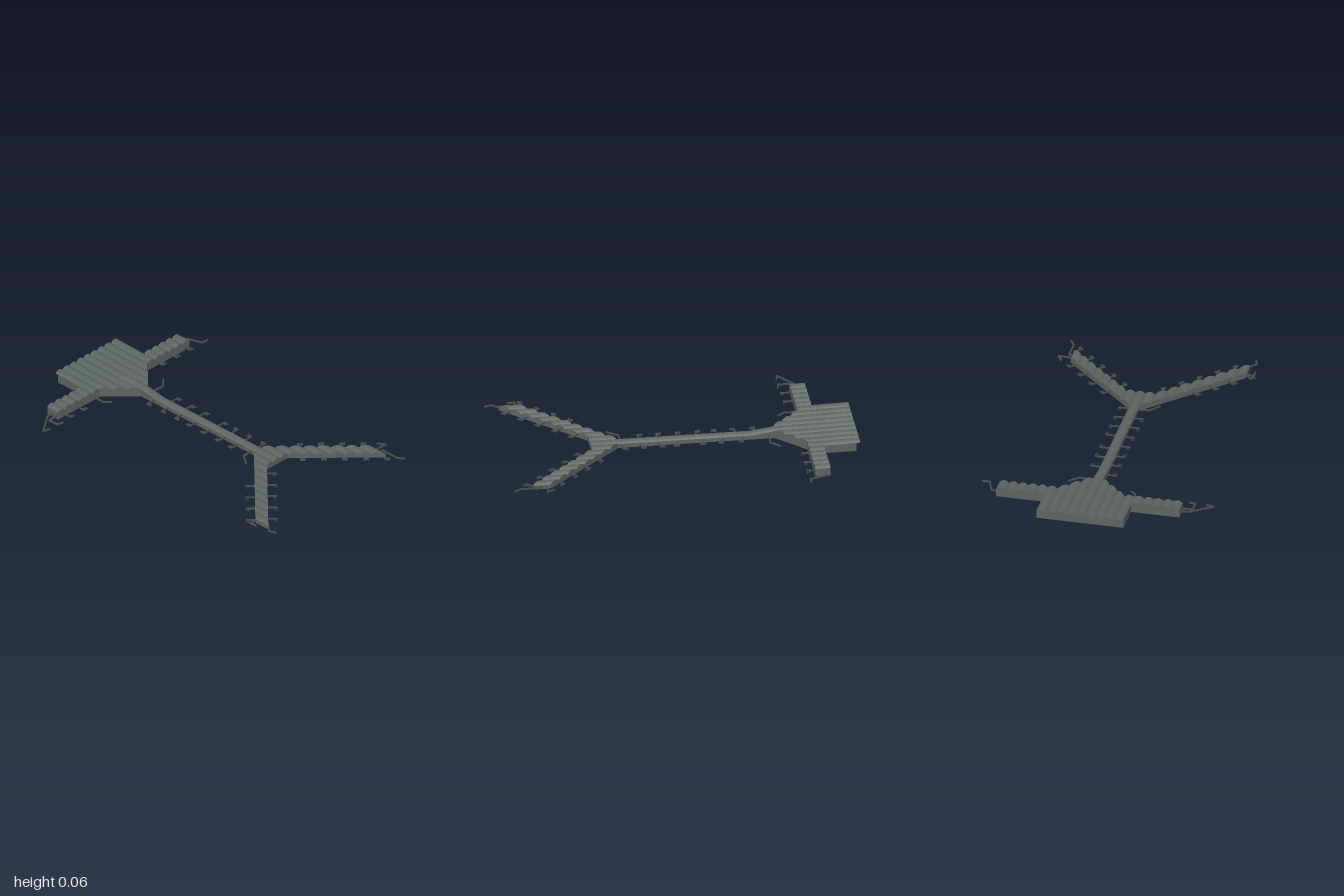
import * as THREE from 'three';

const PITCH = 0.055, MID = -0.0325, RISE = 0.014, SEG = 8;

const roofGrey = new THREE.MeshStandardMaterial({ color: 0x5c6462, side: THREE.DoubleSide });
roofGrey.name = 'roofGrey';
const bridgeGrey = new THREE.MeshStandardMaterial({ color: 0x484e4d });
bridgeGrey.name = 'bridgeGrey';

// Ridge height along x: high terminal, sloping down to the long pier
const PROFILE = [[-1, 0.065], [-0.78, 0.06], [-0.55, 0.057], [-0.42, 0.038], [1, 0.038]];
function ridge(x) {
  for (let i = 1; i < PROFILE.length; i++) {
    const [x0, y0] = PROFILE[i - 1], [x1, y1] = PROFILE[i];
    if (x <= x1) return y0 + (y1 - y0) * (x - x0) / (x1 - x0);
  }
  return 0.038;
}
const breaks = (a, b) => [a, ...PROFILE.map(p => p[0]).filter(x => x > a + 0.001 && x < b - 0.001), b];

// Smooth sheet from rows of points
function sheet(rows) {
  const n = rows[0].length, idx = [];
  for (let i = 0; i < rows.length - 1; i++) {
    for (let j = 0; j < n - 1; j++) {
      const a = i * n + j, b = a + n;
      idx.push(a, a + 1, b, b, a + 1, b + 1);
    }
  }
  const g = new THREE.BufferGeometry();
  g.setAttribute('position', new THREE.Float32BufferAttribute(rows.flat(2), 3));
  g.setIndex(idx);
  g.computeVertexNormals();
  return g;
}

function add(group, geometry, name, material = roofGrey) {
  const m = new THREE.Mesh(geometry, material);
  m.name = name;
  group.add(m);
}

// One barrel vault lying along x, with its two gable walls
function vault(group, k, left, right, name, inset = 0) {
  const pts = Array.from({ length: SEG + 1 }, (_, j) => {
    const u = j / SEG;
    return { z: MID + (k - 0.5 + u) * PITCH, drop: RISE * (2 * u - 1) ** 2 };
  });
  const zc = MID + k * PITCH;
  const stations = breaks(left(zc), right(zc));
  const last = stations.length - 1;
  const rows = stations.map((s, i) => pts.map(({ z, drop }) => {
    const x = i === 0 ? left(z) : i === last ? right(z) : s;
    return [x, ridge(x) - drop, z];
  }));
  add(group, sheet(rows), name + 'Roof');
  [[rows[0], inset], [rows[last], 0]].forEach(([row, dx], i) => {
    const top = row.map(([x, y, z]) => [x + dx, y, z]);
    const base = top.map(([x, , z]) => [x, 0, z]);
    add(group, sheet(i ? [top, base] : [base, top]), name + 'GableWall');
  });
}

// Straight wall along x below a roof valley
function sideWall(group, x0, x1, z, name) {
  const xs = breaks(x0, x1);
  const top = xs.map(x => [x, ridge(x) - RISE, z]), base = xs.map(x => [x, 0, z]);
  add(group, sheet(z > MID ? [base, top] : [top, base]), name);
}

// Boarding bridge made of thin straight tubes through [x, z] points
function bridge(group, points, width = 0.008) {
  for (let i = 1; i < points.length; i++) {
    const [x0, z0] = points[i - 1], [x1, z1] = points[i];
    const g = new THREE.BoxGeometry(Math.hypot(x1 - x0, z1 - z0) + width * 0.6, 0.008, width);
    g.rotateY(-Math.atan2(z1 - z0, x1 - x0));
    g.translate((x0 + x1) / 2, 0.018, (z0 + z1) / 2);
    add(group, g, 'boardingBridge', bridgeGrey);
  }
}

// Gate: a stem leaving the wall along n, and two short prongs along t
function gate(group, x, z, n, t, length = 0.055) {
  const at = (s, p) => [x + n[0] * s + t[0] * p, z + n[1] * s + t[1] * p];
  bridge(group, [at(-0.01, 0), at(length, 0)], 0.007);
  bridge(group, [at(length, 0), at(length, 0.028)], 0.004);
  bridge(group, [at(length - 0.015, 0), at(length - 0.012, 0.025)], 0.004);
}

export function createModel() {
  const model = new THREE.Group();
  model.name = 'airportTerminal';
  const part = name => {
    const g = new THREE.Group();
    g.name = name;
    model.add(g);
    return g;
  };
  const off = z => Math.max(0, Math.abs(z - MID) - PITCH / 2);
  const at = x => () => x;
  const taper = z => -0.55 - off(z);
  const armInner = z => 0.325 + off(z);
  const armOuter = z => 0.48 + Math.max(0, off(z) - PITCH);
  const edge = k => MID + (k + Math.sign(k) * 0.5) * PITCH;

  // Main hall with the long pier as its middle vault
  const hall = part('mainHall');
  for (let k = -4; k <= 4; k++) {
    if (k === 0) vault(hall, 0, at(-1), at(0.48), 'longPier', 0.02);
    else vault(hall, k, at(-1), Math.abs(k) === 4 ? at(-0.71) : taper, 'hall', 0.02);
  }
  for (const s of [-1, 1]) {
    sideWall(hall, -0.98, -0.71, edge(4 * s), 'hallSideWall');
    sideWall(hall, -0.55, 0.325, MID + s * PITCH / 2, 'pierSideWall');
  }

  // Short side piers
  const sides = part('sidePiers');
  for (const s of [-1, 1]) {
    for (let k = 5; k <= 9; k++) vault(sides, k * s, at(-0.795), at(-0.71), 'sidePier');
    sideWall(sides, -0.795, -0.71, edge(9 * s), 'sidePierEndWall');
  }

  // Forked arms: vaults stepped along the diagonals
  const arms = part('forkedArms');
  for (const [s, count] of [[-1, 8], [1, 9]]) {
    for (let k = 1; k <= count; k++) vault(arms, k * s, armInner, armOuter, 'arm');
    const z = edge(count * s);
    sideWall(arms, armInner(z), armOuter(z), z, 'armEndWall');
  }

  // Gates along the long pier
  const gates = part('gates');
  for (const x of [-0.37, -0.26, -0.155, -0.01, 0.095, 0.2, 0.305]) gate(gates, x, -0.06, [0, -1], [x > 0.05 ? -1 : 1, 0]);
  for (const x of [-0.45, -0.34, -0.235, -0.12, -0.01, 0.1, 0.205]) gate(gates, x, -0.005, [0, 1], [x > -0.15 ? -1 : 1, 0]);

  // Gates on the side piers
  for (const z of [-0.515, -0.41, -0.3]) gate(gates, -0.71, z, [1, 0], [0, -1], 0.042);
  for (const z of [0.34, 0.445]) gate(gates, -0.71, z, [1, 0], [0, -1], 0.055);

  // Gates on both edges of the forked arms
  const r = Math.SQRT1_2;
  for (const s of [-1, 1]) {
    for (let i = 0; i < 5; i++) {
      const zo = s < 0 ? -0.165 - i * 0.083 : 0.1 + i * 0.083;
      gate(gates, armOuter(zo), zo, [r, -s * r], [r, s * r], 0.05);
      if (i === 4) continue;
      const zi = s < 0 ? -0.205 - i * 0.083 : 0.24 + i * 0.083;
      gate(gates, armInner(zi), zi, [-r, s * r], [r, s * r], 0.05);
    }
  }

  // Longer bent bridges at the corners and pier ends
  const bent = part('bentBridges');
  [
    [[-0.52, -0.05], [-0.515, -0.145], [-0.565, -0.195]],
    [[0.305, -0.01], [0.31, 0.06], [0.37, 0.105]],
    [[-0.77, -0.55], [-0.76, -0.59], [-0.675, -0.62], [-0.675, -0.66]],
    [[-0.755, 0.485], [-0.755, 0.53], [-0.665, 0.655], [-0.655, 0.615]],
    [[-0.725, 0.485], [-0.72, 0.55], [-0.655, 0.55], [-0.65, 0.515]],
    [[-0.715, 0.205], [-0.64, 0.205], [-0.605, 0.175]],
    [[0.79, -0.49], [0.79, -0.575], [0.75, -0.55]],
    [[0.82, -0.49], [0.82, -0.52], [0.935, -0.52], [0.97, -0.545]],
    [[0.825, 0.485], [0.825, 0.535], [0.865, 0.53]],
    [[0.915, 0.485], [0.955, 0.52], [0.995, 0.505]],
  ].forEach(path => bridge(bent, path, 0.009));

  return model;
}
